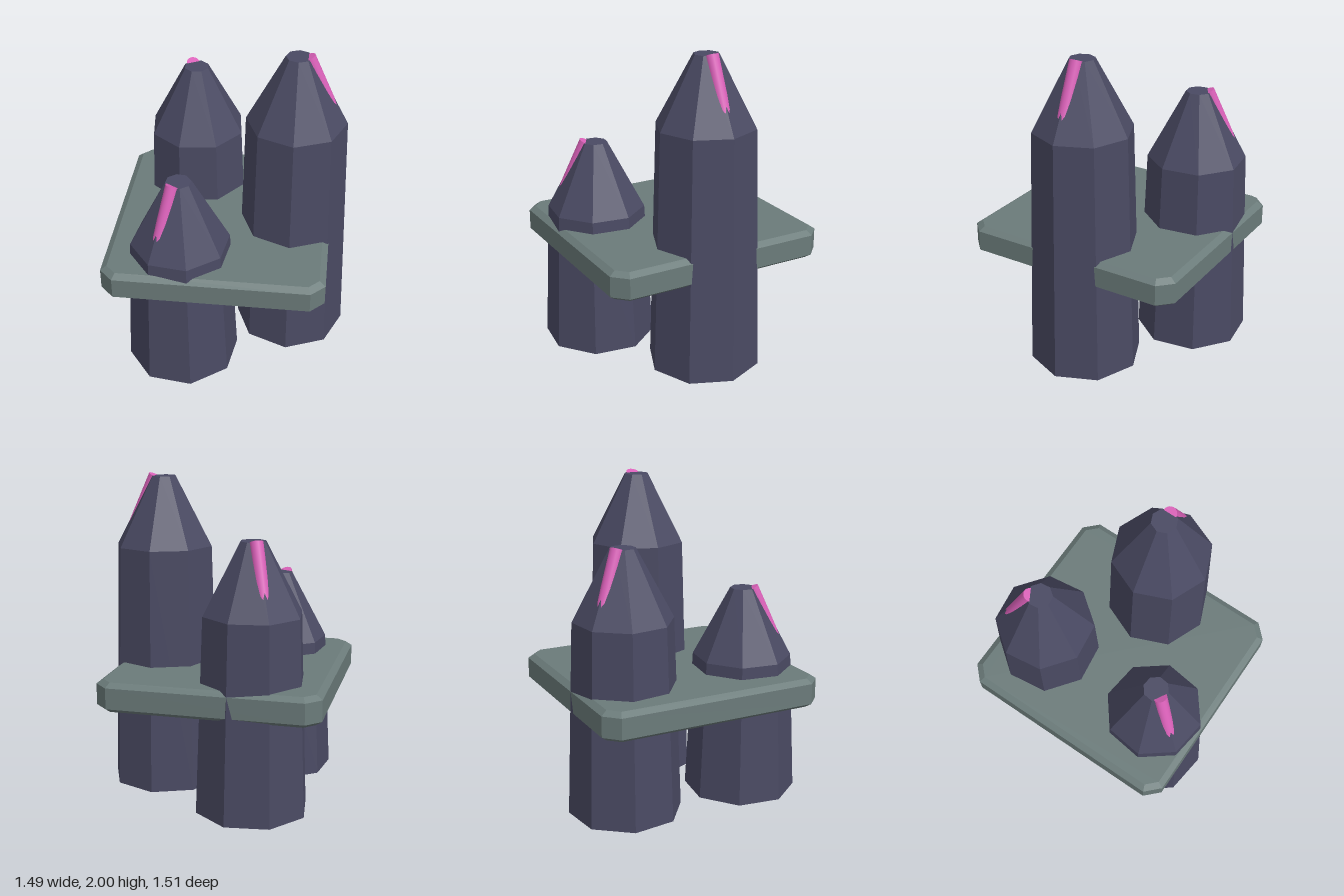
import * as THREE from 'three';

const shellMat = new THREE.MeshStandardMaterial({ color: 0x4a4a63, flatShading: true, side: THREE.DoubleSide });
const plateMat = new THREE.MeshStandardMaterial({ color: 0x6b7b7a, flatShading: true });
const rodMat = new THREE.MeshStandardMaterial({ color: 0xd960b8 });

// Capped cylinder between two points
function pipe(name, a, b, radius) {
  const dir = b.clone().sub(a);
  const mesh = new THREE.Mesh(new THREE.CylinderGeometry(radius, radius, dir.length(), 20), rodMat);
  mesh.name = name;
  mesh.position.copy(a).add(b).multiplyScalar(0.5);
  mesh.quaternion.setFromUnitVectors(new THREE.Vector3(0, 1, 0), dir.normalize());
  return mesh;
}

// Eight-sided tapered tower, open underneath, with a bent rod towards its local +x corner
function tower(name, x, z, height, angle) {
  const group = new THREE.Group();
  group.name = name;
  const shoulder = height - 0.435;
  const profile = [[0.356, 0], [0.31, shoulder], [0.079, height], [0, height]];
  const shell = new THREE.Mesh(
    new THREE.LatheGeometry(profile.map(([r, y]) => new THREE.Vector2(r, y)), 8), shellMat);
  shell.name = 'towerShell';

  // Rod runs up inside the wall, then breaks out along the cone edge
  const foot = new THREE.Vector3(0.25, 0, 0);
  const bend = new THREE.Vector3(0.25, shoulder, 0);
  const tip = new THREE.Vector3(0.055, height, 0);
  group.add(shell, pipe('innerRod', foot, bend, 0.042), pipe('slopedRod', bend, tip, 0.042));
  group.position.set(x, 0, z);
  group.rotation.y = -angle;
  return group;
}

// Bevelled platform with cut corners
function platform() {
  const x0 = -0.708, x1 = 0.588, z = 0.69, c = 0.064;
  const outline = [
    [x0 + c, -z], [x1 - c, -z], [x1, -z + c], [x1, z - c],
    [x1 - c, z], [x0 + c, z], [x0, z - c], [x0, -z + c],
  ].map(([px, py]) => new THREE.Vector2(px, py));
  const geo = new THREE.ExtrudeGeometry(new THREE.Shape(outline), {
    depth: 0.13, bevelEnabled: true, bevelThickness: 0.027, bevelSize: 0.038, bevelSegments: 1,
  });
  geo.rotateX(-Math.PI / 2);
  geo.translate(0, 0.665, 0);
  const mesh = new THREE.Mesh(geo, plateMat);
  mesh.name = 'platform';
  return mesh;
}

export function createModel() {
  const model = new THREE.Group();
  model.name = 'towerCluster';
  const third = (Math.PI * 2) / 3;
  model.add(
    platform(),
    tower('tallTower', 0.386, 0, 1.985, 0),
    tower('frontTower', -0.284, 0.413, 1.33, third),
    tower('backTower', -0.284, -0.413, 1.66, -third),
  );
  return model;
}
